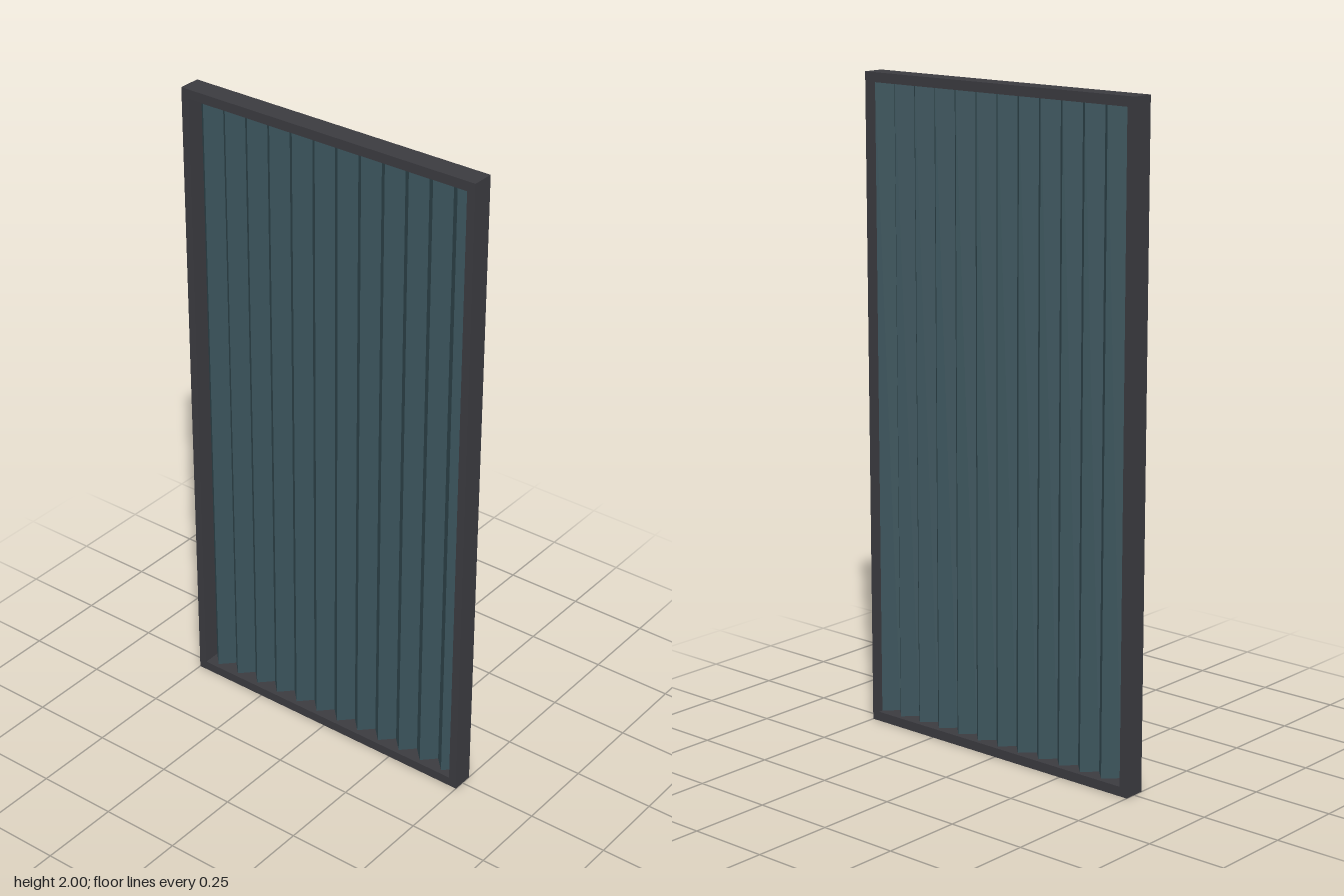
import * as THREE from 'three';

const W = 1, H = 2, D = 0.068;      // outer frame size
const SIDE = 0.026, RAIL = 0.029;   // post width, rail height
const FOLDS = 24, FOLD_DEPTH = 0.04;

function box(name, w, h, x, y, material) {
  const mesh = new THREE.Mesh(new THREE.BoxGeometry(w, h, D), material);
  mesh.name = name;
  mesh.position.set(x, y, 0);
  return mesh;
}

// Accordion sheet: a plane whose columns alternate back and front
function pleatedSheet(material) {
  const geo = new THREE.PlaneGeometry(W - 2 * SIDE, H - 2 * RAIL, FOLDS, 1);
  const pos = geo.attributes.position;
  for (let i = 0; i < pos.count; i++) {
    const column = i % (FOLDS + 1);
    pos.setZ(i, (column % 2 ? 0.5 : -0.5) * FOLD_DEPTH);
  }
  const flat = geo.toNonIndexed();
  flat.computeVertexNormals();
  const mesh = new THREE.Mesh(flat, material);
  mesh.name = 'pleatedSheet';
  mesh.position.y = H / 2;
  return mesh;
}

export function createModel() {
  const model = new THREE.Group();
  model.name = 'pleatedScreen';
  const frameMat = new THREE.MeshStandardMaterial({ color: 0x3b3b40 });
  const sheetMat = new THREE.MeshStandardMaterial({
    color: 0x39525a, flatShading: true, side: THREE.DoubleSide,
  });

  // Frame: two rails across the full width, posts between them
  const frame = new THREE.Group();
  frame.name = 'frame';
  frame.add(box('bottomRail', W, RAIL, 0, RAIL / 2, frameMat));
  frame.add(box('topRail', W, RAIL, 0, H - RAIL / 2, frameMat));
  for (const [name, s] of [['leftPost', 1], ['rightPost', -1]]) {
    frame.add(box(name, SIDE, H - 2 * RAIL, s * (W - SIDE) / 2, H / 2, frameMat));
  }

  model.add(frame, pleatedSheet(sheetMat));
  return model;
}
